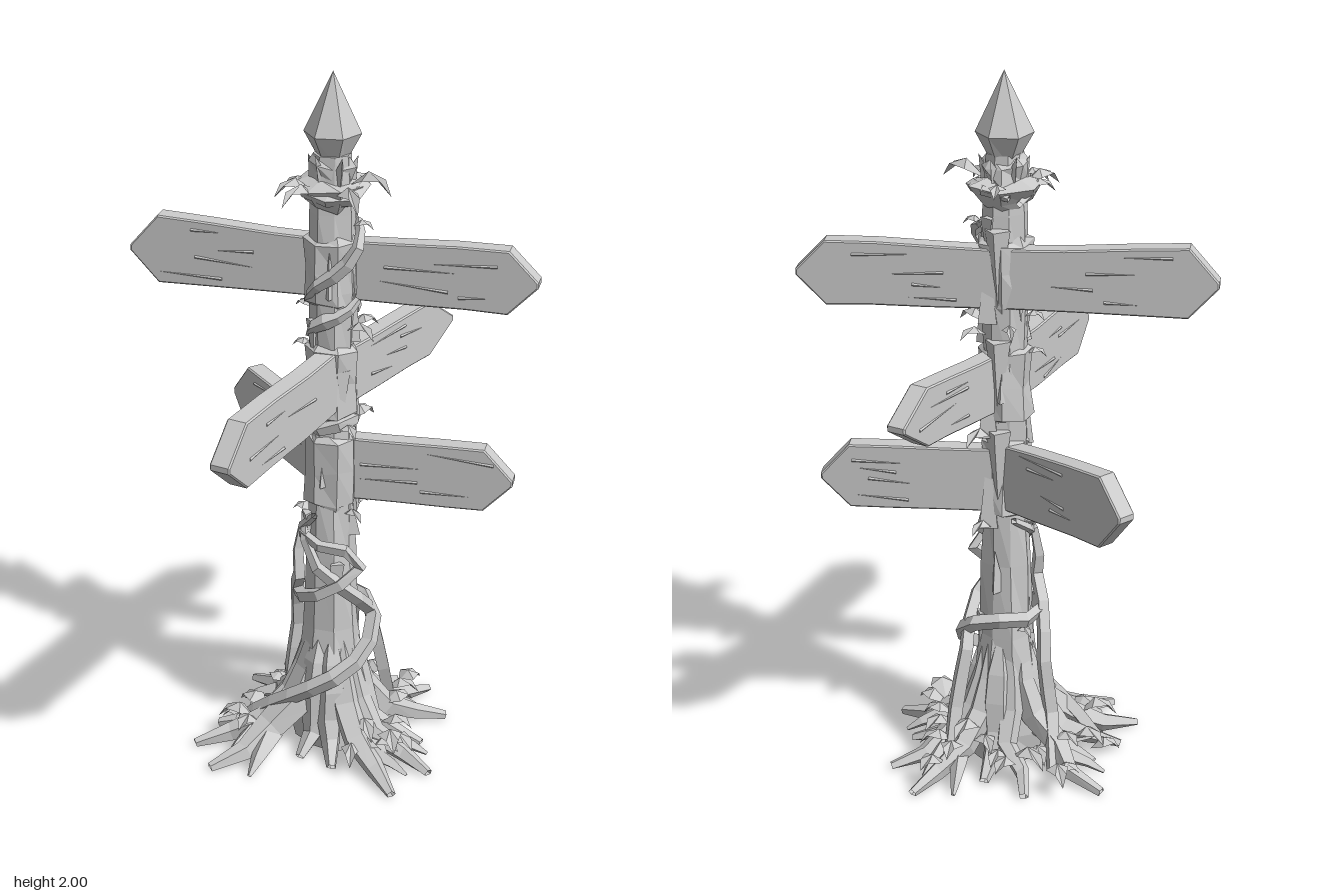
import * as THREE from 'three';

const CX = 0.025, CZ = -0.05; // post axis
const mat = new THREE.MeshStandardMaterial({ color: 0xcccccc, flatShading: true, side: THREE.DoubleSide });

let seed = 7;
const rand = (a = 0, b = 1) => {
  seed = (seed * 16807) % 2147483647;
  return a + (b - a) * (seed / 2147483647);
};

// Point around the post: angle in degrees, 0 = front, 90 = +x
const polar = (deg, r, y) => {
  const a = THREE.MathUtils.degToRad(deg);
  return new THREE.Vector3(CX + r * Math.sin(a), y, CZ + r * Math.cos(a));
};

function add(parent, name, geo) {
  const mesh = new THREE.Mesh(geo, mat);
  mesh.name = name;
  parent.add(mesh);
  return mesh;
}

// Low-poly tube whose radius runs through a list of values
function taperedTube(points, radii, steps, sides) {
  const curve = new THREE.CatmullRomCurve3(points);
  const geo = new THREE.TubeGeometry(curve, steps, 1, sides, false);
  const p = geo.attributes.position, v = new THREE.Vector3();
  for (let i = 0; i <= steps; i++) {
    const c = curve.getPointAt(i / steps);
    const f = (i / steps) * (radii.length - 1);
    const k = Math.min(Math.floor(f), radii.length - 2);
    const r = THREE.MathUtils.lerp(radii[k], radii[k + 1], f - k);
    for (let j = 0; j <= sides; j++) {
      const n = i * (sides + 1) + j;
      v.fromBufferAttribute(p, n).sub(c).multiplyScalar(r).add(c);
      p.setXYZ(n, v.x, Math.max(v.y, 0), v.z);
    }
  }
  return geo;
}

// Post section made of [radius, y] rings with uneven facets
function postGeometry(profile, sides, rough, lift = 0) {
  const geo = new THREE.LatheGeometry(profile.map(([r, y]) => new THREE.Vector2(r, y)), sides);
  const p = geo.attributes.position, n = profile.length;
  for (let s = 0; s < sides; s++) for (let i = 0; i < n; i++) {
    const k = 1 + rand(-rough, rough), dy = rand(-lift, lift);
    for (const id of s === 0 ? [i, sides * n + i] : [s * n + i])
      p.setXYZ(id, p.getX(id) * k, p.getY(id) + dy, p.getZ(id) * k);
  }
  return geo.translate(CX, 0, CZ);
}

// Pointed board: from/to are [x, z], start and shoulder are [bottom, top]
function board(parent, name, from, to, start, shoulder, tipY, thick, point = 0.08) {
  const dx = to[0] - from[0], dz = to[1] - from[1], L = Math.hypot(dx, dz), s = L - point;
  const mid = (i, t) => THREE.MathUtils.lerp(start[i], shoulder[i], t) + rand(-0.004, 0.004);
  const outline = [[0, start[0]], [s * 0.4, mid(0, 0.4)], [s * 0.75, mid(0, 0.75)], [s, shoulder[0]],
    [L, tipY - 0.008], [L, tipY + 0.008], [s, shoulder[1]], [s * 0.7, mid(1, 0.7)], [s * 0.35, mid(1, 0.35)], [0, start[1]]];
  const arm = new THREE.Group();
  arm.name = name;
  arm.position.set(from[0], 0, from[1]);
  arm.rotation.y = Math.atan2(-dz, dx);
  const shape = new THREE.Shape(outline.map(([x, y]) => new THREE.Vector2(x, y)));
  add(arm, 'plank', new THREE.ExtrudeGeometry(shape, { depth: thick - 0.008, bevelThickness: 0.004, bevelSize: 0.004,
    bevelOffset: -0.004, bevelSegments: 1 }).translate(0, 0, -thick / 2 + 0.004));
  // Wood grain splinters on both faces
  for (const side of [-1, 1]) for (let i = 0; i < 4; i++) {
    const splinter = add(arm, 'splinter', new THREE.ConeGeometry(0.008, rand(0.08, 0.2), 3).rotateY(side < 0 ? Math.PI : 0));
    splinter.rotation.z = (i % 2 ? 1 : -1) * Math.PI / 2 + rand(-0.1, 0.1);
    splinter.scale.z = 0.5;
    splinter.position.set(L * rand(0.3, 0.72), THREE.MathUtils.lerp(shoulder[0], shoulder[1], rand(0.12, 0.25) + i * 0.2), side * thick / 2);
  }
  parent.add(arm);
}

// Folded, drooping leaf
function leaf(parent, base, deg, length, width, lift) {
  const a = THREE.MathUtils.degToRad(deg);
  const out = new THREE.Vector3(Math.sin(a), 0, Math.cos(a)), side = new THREE.Vector3(out.z, 0, -out.x);
  const at = (o, s, h) => base.clone().addScaledVector(out, o * length).addScaledVector(side, s * width)
    .add(new THREE.Vector3(0, h * length, 0));
  const pts = [at(0, 0, 0), at(0.4, -0.5, lift - 0.1), at(0.45, 0, lift + 0.08), at(0.4, 0.5, lift - 0.1),
    at(0.8, -0.25, lift * 0.8), at(0.8, 0.25, lift * 0.8), at(1, 0, lift * 0.8 - 0.3)];
  const geo = new THREE.BufferGeometry().setFromPoints(pts);
  geo.setIndex([0, 2, 1, 0, 3, 2, 1, 2, 4, 3, 5, 2, 4, 2, 6, 2, 5, 6]);
  geo.computeVertexNormals();
  add(parent, 'leaf', geo);
}

export function createModel() {
  const model = new THREE.Group();
  model.name = 'signpost';

  // Trunk, collar and finial
  add(model, 'post', postGeometry([[0.1, 0], [0.11, 0.08], [0.095, 0.2], [0.08, 0.38], [0.067, 0.6], [0.063, 0.8],
    [0.063, 1.0], [0.061, 1.2], [0.063, 1.4], [0.059, 1.62], [0.05, 1.78], [0, 1.78]], 8, 0.12));
  add(model, 'collar', postGeometry([[0.05, 1.635], [0.075, 1.65], [0.1, 1.695], [0.06, 1.71], [0.06, 1.75], [0.045, 1.77]], 7, 0.18, 0.01));
  add(model, 'finial', postGeometry([[0, 1.73], [0.032, 1.75], [0.077, 1.835], [0, 2]], 6, 0.06));

  // Splintered wood around the top of the post
  for (let i = 0; i < 6; i++) {
    const c = polar(i * 60, 0.055, 1.745);
    add(model, 'topSplinter', new THREE.ConeGeometry(0.022, rand(0.06, 0.1), 3)
      .rotateX(0.4).rotateY(i * Math.PI / 3).translate(c.x, c.y, c.z));
  }

  // Loose bark shards along the post
  for (let i = 0; i < 18; i++) {
    const deg = i * 137, y = 0.3 + i * 0.073, c = polar(deg, 0.084 - 0.025 * Math.min(1, y / 0.8), y);
    add(model, 'barkShard', new THREE.ConeGeometry(0.024, rand(0.09, 0.16), 3)
      .rotateX((i % 2) * Math.PI + rand(-0.1, 0.15)).rotateY(deg * Math.PI / 180).translate(c.x, c.y, c.z));
  }

  // Bark sleeves and back wedges where the boards meet the post
  for (const [lo, hi] of [[0.77, 0.97], [1.04, 1.23], [1.37, 1.54]]) {
    add(model, 'barkSleeve', postGeometry([[0.055, lo - 0.01], [0.073, lo], [0.069, (lo + hi) / 2], [0.074, hi], [0.055, hi + 0.02]], 7, 0.12, 0.01));
    [165, 195].forEach((deg, i) => {
      const c = polar(deg, 0.062, (lo + hi) / 2 + i * 0.04 - 0.02);
      add(model, 'barkWedge', new THREE.ConeGeometry(0.036, hi - lo + 0.05, 4)
        .rotateX(i * Math.PI).rotateY(deg * Math.PI / 180).translate(c.x, c.y, c.z));
    });
  }

  // Boards
  const c1 = [0.02, -0.087];
  board(model, 'upperRightBoard', c1, [-0.512, 0.16], [1.365, 1.53], [1.36, 1.555], 1.455, 0.055);
  board(model, 'upperLeftBoard', c1, [0.508, -0.327], [1.365, 1.53], [1.36, 1.54], 1.45, 0.055);
  board(model, 'middleFrontBoard', [0.045, -0.02], [0.15, 0.55], [1.06, 1.235], [1.03, 1.215], 1.115, 0.06, 0.09);
  board(model, 'middleBackBoard', [0.045, -0.05], [0.036, -0.55], [1.06, 1.225], [1.085, 1.25], 1.165, 0.056, 0.11);
  board(model, 'lowerLeftBoard', [0.02, -0.08], [0.46, -0.31], [0.77, 0.955], [0.77, 0.955], 0.86, 0.055);
  board(model, 'lowerRightBoard', [0.02, -0.07], [-0.46, -0.22], [0.775, 0.965], [0.805, 1.01], 0.91, 0.055);

  // Roots: [angle, reach, thickness]
  const roots = [[-40, 0.4, 0.046], [-20, 0.4, 0.052], [8, 0.17, 0.045], [40, 0.2, 0.045], [66, 0.38, 0.046], [90, 0.36, 0.042],
    [115, 0.27, 0.04], [144, 0.35, 0.04], [169, 0.38, 0.04], [196, 0.22, 0.045], [222, 0.3, 0.035], [257, 0.38, 0.04],
    [280, 0.27, 0.04], [302, 0.33, 0.04]];
  for (const [deg, reach, t] of roots) {
    const w = rand(-9, 9);
    add(model, 'root', taperedTube([polar(deg, 0.055, 0.36), polar(deg, 0.085, 0.18), polar(deg + w, reach * 0.5, 0.07),
      polar(deg - w * 0.5, reach * 0.78, 0.025), polar(deg, reach, 0.006)], [0.016, t, t, t * 0.7, 0.014], 5, 5));
    if (reach > 0.34) add(model, 'rootBranch', taperedTube([polar(deg, reach * 0.5, 0.06),
      polar(deg + 12, reach * 0.7, 0.035), polar(deg + 16, reach * 0.84, 0.005)], [t * 0.7, t * 0.5, 0.006], 3, 4));
  }

  // Climbing vines: [angle, radius, height]
  const vines = [
    [[-56, 0.26, 0.03], [-44, 0.2, 0.1], [-5, 0.135, 0.19], [45, 0.125, 0.26], [95, 0.12, 0.32], [140, 0.12, 0.41], [190, 0.1, 0.45],
      [270, 0.11, 0.45], [340, 0.09, 0.48], [400, 0.105, 0.53], [440, 0.125, 0.6], [425, 0.12, 0.65], [370, 0.09, 0.66],
      [310, 0.085, 0.68], [230, 0.075, 0.75]],
    [[-110, 0.22, 0.02], [-90, 0.15, 0.16], [-95, 0.135, 0.32], [-75, 0.11, 0.46], [-30, 0.095, 0.56], [-55, 0.095, 0.65], [0, 0.075, 0.74]],
    [[165, 0.22, 0.02], [155, 0.165, 0.2], [150, 0.12, 0.38], [110, 0.1, 0.45], [50, 0.09, 0.54], [0, 0.1, 0.62], [-60, 0.075, 0.72]],
    [[-60, 0.065, 1.26], [0, 0.07, 1.31], [70, 0.075, 1.35], [100, 0.08, 1.38]],
    [[-60, 0.07, 1.36], [0, 0.075, 1.42], [60, 0.08, 1.48], [85, 0.1, 1.55], [140, 0.07, 1.59]],
    [[-90, 0.065, 0.97], [0, 0.07, 1.0], [90, 0.075, 1.03], [200, 0.07, 1.0]],
    [[-120, 0.085, 1.66], [-30, 0.095, 1.69], [60, 0.095, 1.67], [150, 0.095, 1.7], [220, 0.09, 1.68]],
  ];
  vines.forEach((pts, i) => add(model, 'vine', taperedTube(pts.map(p => polar(...p)),
    i < 3 ? [0.022, 0.025, 0.021, 0.02, 0.01] : [0.01, 0.022, 0.01], Math.round(pts.length * 1.4), 4)));

  // Leaves up the post: [angle, height, length, width]
  const foliage = [[60, 1.67, 0.13, 0.06], [95, 1.7, 0.13, 0.05], [300, 1.68, 0.08, 0.05], [350, 1.67, 0.12, 0.05], [200, 1.69, 0.07, 0.05],
    [330, 1.68, 0.11, 0.05], [85, 1.29, 0.1, 0.05], [280, 1.33, 0.06, 0.04], [150, 1.28, 0.08, 0.05], [220, 1.3, 0.08, 0.04],
    [70, 1.0, 0.07, 0.05], [170, 0.99, 0.1, 0.06], [290, 1.22, 0.06, 0.04], [80, 0.74, 0.07, 0.04], [290, 0.72, 0.06, 0.05],
    [170, 0.72, 0.08, 0.05], [110, 1.58, 0.06, 0.04], [250, 0.4, 0.06, 0.04]];
  for (const [deg, y, l, w] of foliage) leaf(model, polar(deg, 0.055, y), deg, l, w, 0.3);

  // Undergrowth clumps around the base: [x, y, z, angle]
  const clumps = [[0.15, 0.09, -0.02, 85], [0.22, 0.09, 0, 110], [0.17, 0.07, 0.03, 65], [0.18, 0.1, -0.09, 115], [0.24, 0.08, -0.04, 75],
    [0.14, 0.1, -0.15, 145], [0.08, 0.1, -0.23, 170], [0.07, 0.08, -0.31, 175], [0.03, 0.12, -0.18, 190], [-0.04, 0.08, -0.16, 195],
    [-0.1, 0.08, -0.2, 215], [-0.12, 0.09, -0.15, 250], [-0.2, 0.06, -0.16, 255],
    [-0.15, 0.09, -0.06, 270], [-0.15, 0.06, 0.03, 295], [-0.2, 0.04, 0.05, 300], [-0.11, 0.1, 0.12, -35]];
  clumps.forEach(([x, y, z, deg], i) => {
    for (const turn of i % 2 ? [0] : [-30, 30])
      leaf(model, new THREE.Vector3(x, y + rand(-0.04, 0.01), z), deg + turn + rand(-15, 15), rand(0.08, 0.12), rand(0.055, 0.075), rand(0.15, 0.45));
  });
  return model;
}
